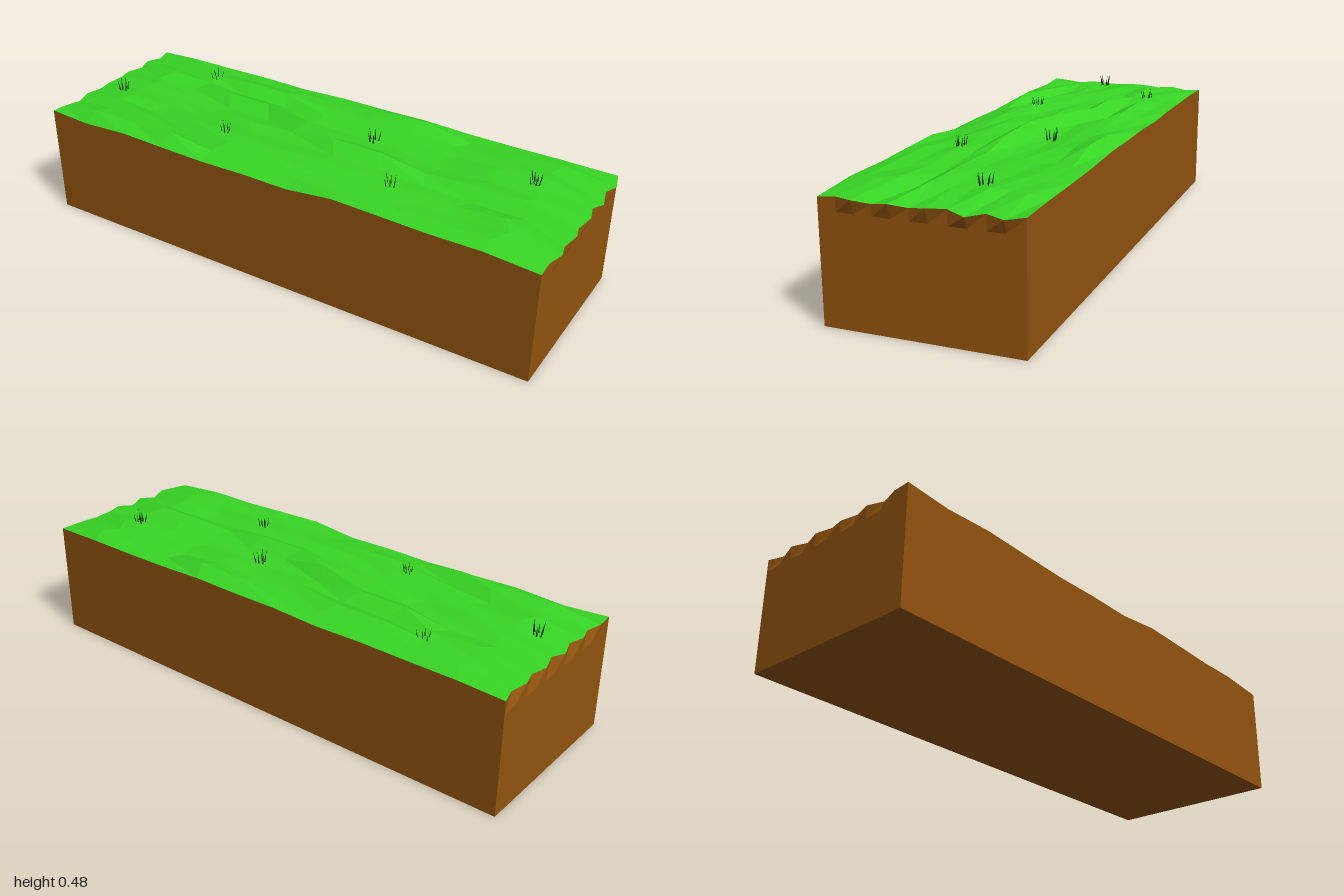
import * as THREE from 'three';

const COLS = 11, ROWS = 11, HALF_Z = 0.333;

const flat = (name, color) => {
  const m = new THREE.MeshStandardMaterial({ color, flatShading: true });
  m.name = name;
  return m;
};

function seeded(seed) {
  return () => {
    seed = (seed * 16807) % 2147483647;
    return seed / 2147483647;
  };
}

// Height of the turf at every grid point: gentle noise, set edges, a few ledges
function makeHeights() {
  const rnd = seeded(77);
  const front = [0.42, 0.41, 0.42, 0.415, 0.411, 0.415, 0.413, 0.433, 0.428, 0.423, 0.425, 0.411];
  const right = [0.424, 0.415, 0.421, 0.409, 0.421, 0.421, 0.41, 0.42, 0.408, 0.418, 0.418, 0.411];
  const h = [];
  for (let i = 0; i <= COLS; i++) {
    h.push([]);
    for (let j = 0; j <= ROWS; j++) {
      let y = 0.427 + rnd() * 0.018;
      if (j === 0) y = 0.42 + rnd() * 0.013;
      if (i === 0) y = 0.412 + rnd() * 0.01;
      if (j === ROWS) y = front[i];
      if (i === COLS) y = right[j];
      h[i].push(y);
    }
  }
  // ledges: first column, last column, row, upper height, lower height
  const ledges = [
    [3, 4, 2, 0.452, 0.425], [3, 4, 4, 0.455, 0.426], [3, 4, 8, 0.447, 0.421],
    [6, 7, 6, 0.468, 0.437], [9, 10, 6, 0.45, 0.421], [4, 5, 9, 0.444, 0.426],
  ];
  for (const [a, b, j, up, low] of ledges)
    for (let i = a; i <= b; i++) { h[i][j] = up; h[i][j + 1] = low; }
  // single mounds
  for (const [i, j, y] of [[5, 5, 0.47], [10, 8, 0.445], [7, 1, 0.46], [6, 1, 0.452], [3, 10, 0.449], [2, 9, 0.45]]) h[i][j] = y;
  return h;
}

// Collect quads (corners counter-clockwise from outside) into a geometry
function quadGeometry(quads) {
  const pos = [];
  for (const [a, b, c, d] of quads) for (const p of [a, b, c, a, c, d]) pos.push(...p);
  const g = new THREE.BufferGeometry();
  g.setAttribute('position', new THREE.Float32BufferAttribute(pos, 3));
  g.computeVertexNormals();
  return g;
}

export function createModel() {
  const group = new THREE.Group();
  group.name = 'grassBlock';
  const turfMat = flat('turf green', 0x37d524);
  const soilMat = flat('soil brown', 0x91540e);
  const bladeMat = flat('blade dark green', 0x1d3a10);
  const add = (name, geometry, material) => {
    const m = new THREE.Mesh(geometry, material);
    m.name = name;
    group.add(m);
  };

  const h = makeHeights();
  // alternate rows are shifted sideways, so both ends zigzag
  const point = (i, j) => {
    const odd = j % 2 === 1 && j < ROWS;
    const end = i === 0 || i === COLS;
    const shift = end ? (odd ? 0.017 : 0) : (odd ? 0.02 : -0.015);
    return [-1 + i * 0.18 + shift, h[i][j], -HALF_Z + (j * 2 * HALF_Z) / ROWS];
  };

  // Turf surface
  const turf = [];
  for (let i = 0; i < COLS; i++)
    for (let j = 0; j < ROWS; j++)
      turf.push([point(i, j), point(i, j + 1), point(i + 1, j + 1), point(i + 1, j)]);
  add('turf', quadGeometry(turf), turfMat);

  // Soil walls: long sides rise straight to the turf, ends bend at the collar
  const soil = [];
  const at = (p, y) => [p[0], y, p[2]];
  for (let i = 0; i < COLS; i++) {
    const [f0, f1, b0, b1] = [point(i, ROWS), point(i + 1, ROWS), point(i, 0), point(i + 1, 0)];
    soil.push([at(f0, 0), at(f1, 0), f1, f0]);
    soil.push([at(b1, 0), at(b0, 0), b0, b1]);
  }
  const collar = 0.37;
  for (let j = 0; j < ROWS; j++) {
    for (const [i, x] of [[0, -1], [COLS, 0.98]]) {
      // the back-to-front order flips between the two ends
      const [p, q] = i ? [point(i, j + 1), point(i, j)] : [point(i, j), point(i, j + 1)];
      const low = (v, y) => [x, y, v[2]];
      soil.push([low(p, 0), low(q, 0), low(q, collar), low(p, collar)]);
      soil.push([low(p, collar), low(q, collar), q, p]);
    }
  }
  // underside
  soil.push([[-1, 0, -HALF_Z], [0.98, 0, -HALF_Z], [0.98, 0, HALF_Z], [-1, 0, HALF_Z]]);
  add('soil', quadGeometry(soil), soilMat);

  // Grass tufts: x, z, base height, number of blades
  const tufts = [
    [-0.63, -0.2, 0.425, 5], [-0.885, 0.062, 0.425, 6], [-0.317, 0.155, 0.432, 6],
    [0.158, -0.09, 0.428, 5], [0.368, 0.157, 0.427, 6], [0.77, -0.115, 0.427, 8],
  ];
  const rnd = seeded(4242);
  for (const [x, z, y, count] of tufts) {
    const tuft = new THREE.Group();
    tuft.name = 'grassTuft';
    tuft.position.set(x, y, z);
    for (let k = 0; k < count; k++) {
      const height = 0.04 + rnd() * 0.014;
      const blade = new THREE.Mesh(new THREE.ConeGeometry(0.0035, height, 3).translate(0, height / 2, 0), bladeMat);
      blade.name = 'grassBlade';
      const side = k % 2 ? 1 : -1;
      const along = (k / (count - 1) - 0.5) * 0.03;
      blade.position.set(along, 0, side * (0.004 + rnd() * 0.01));
      blade.rotation.set(side * 0.12, 0, -along * 12);
      tuft.add(blade);
    }
    group.add(tuft);
  }
  return group;
}
